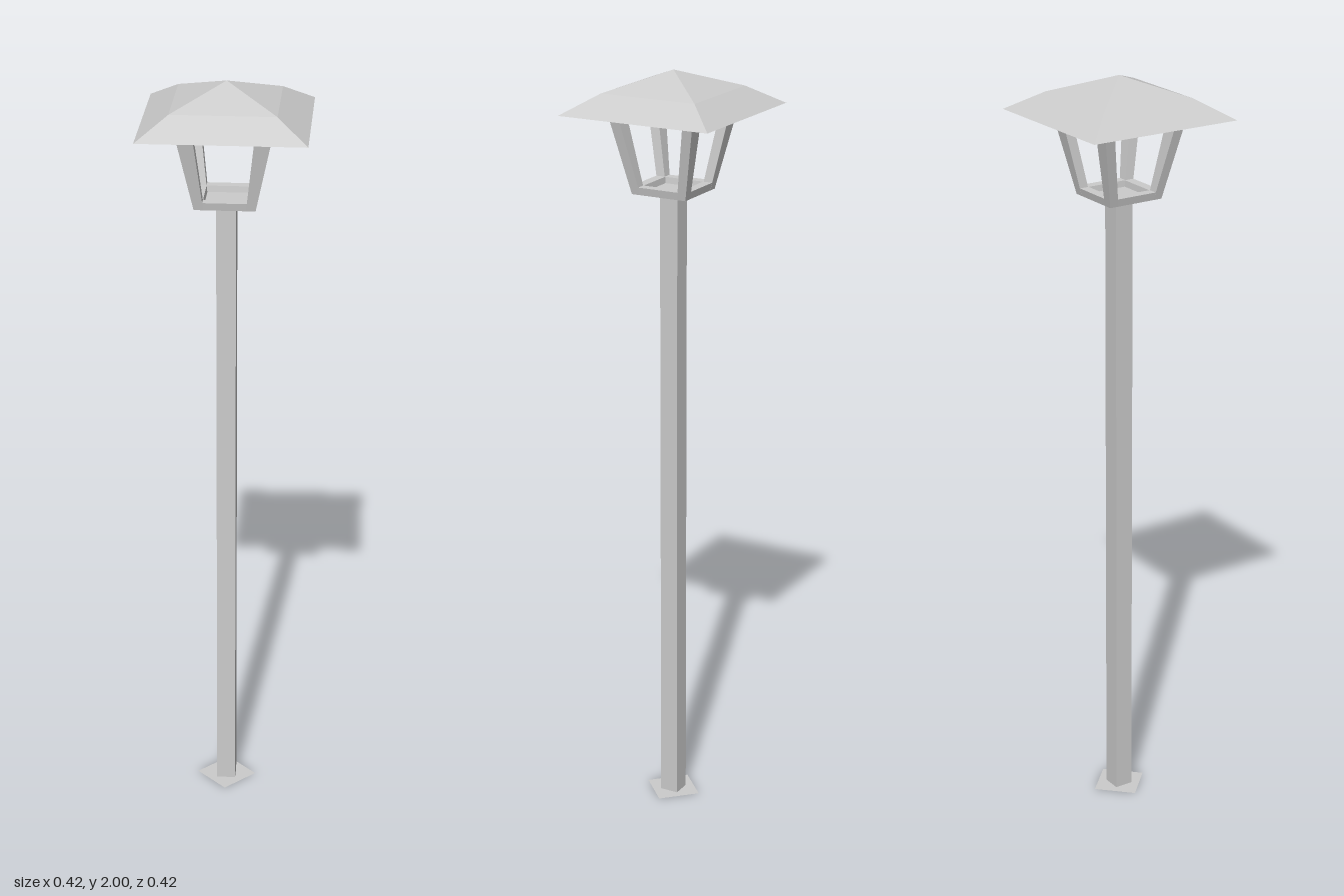
import * as THREE from 'three';

const solid = new THREE.MeshStandardMaterial({ color: 0xcccccc, flatShading: true });
const thin = new THREE.MeshStandardMaterial({ color: 0xcccccc, flatShading: true, side: THREE.DoubleSide });

// Four-sided revolve: profile is [half-width, height] pairs, outside listed bottom to top.
function squareLathe(name, profile, material) {
  const points = profile.map(([half, y]) => new THREE.Vector2(half * Math.SQRT2, y));
  const geometry = new THREE.LatheGeometry(points, 4, Math.PI / 4);
  const mesh = new THREE.Mesh(geometry, material);
  mesh.name = name;
  return mesh;
}

// Leaning corner post: a box whose two ends are placed and sized separately.
const POST_BOTTOM = { y: 1.69, x: [0.053, 0.077], z: [0.053, 0.077] };
const POST_TOP = { y: 1.948, x: [0.083, 0.131], z: [0.102, 0.131] };

function cornerPost(sx, sz) {
  const geometry = new THREE.BoxGeometry(1, 1, 1);
  const p = geometry.attributes.position;
  for (let i = 0; i < p.count; i++) {
    const end = p.getY(i) > 0 ? POST_TOP : POST_BOTTOM;
    const x = end.x[p.getX(i) * sx > 0 ? 1 : 0] * sx;
    const z = end.z[p.getZ(i) * sz > 0 ? 1 : 0] * sz;
    p.setXYZ(i, x, end.y, z);
  }
  geometry.computeVertexNormals();
  const mesh = new THREE.Mesh(geometry, solid);
  mesh.name = 'cornerPost';
  return mesh;
}

// Flat diamond plate on the ground, pierced by the hollow pole.
function footPlate(radius, hole) {
  const shape = new THREE.Shape([[radius, 0], [0, radius], [-radius, 0], [0, -radius]]
    .map(([x, y]) => new THREE.Vector2(x, y)));
  shape.holes.push(new THREE.Path([[hole, hole], [hole, -hole], [-hole, -hole], [-hole, hole]]
    .map(([x, y]) => new THREE.Vector2(x, y))));
  const geometry = new THREE.ShapeGeometry(shape);
  geometry.rotateX(-Math.PI / 2);
  const mesh = new THREE.Mesh(geometry, thin);
  mesh.name = 'footPlate';
  return mesh;
}

export function createModel() {
  const model = new THREE.Group();
  model.name = 'lampPost';

  // Hollow square pole and its foot
  model.add(footPlate(0.08, 0.025));
  model.add(squareLathe('pole', [[0.025, 0], [0.025, 1.69]], thin));

  // Lantern frame: tray, four posts, top rail
  const lantern = new THREE.Group();
  lantern.name = 'lantern';
  lantern.add(squareLathe('lanternTray',
    [[0, 1.69], [0.077, 1.69], [0.081, 1.71], [0.055, 1.71], [0.053, 1.694], [0, 1.694]], solid));
  for (const sx of [-1, 1]) {
    for (const sz of [-1, 1]) lantern.add(cornerPost(sx, sz));
  }
  lantern.add(squareLathe('topRail',
    [[0.127, 1.925], [0.131, 1.948], [0.106, 1.948], [0.102, 1.925], [0.127, 1.925]], solid));
  model.add(lantern);

  // Open-bottomed roof: steeper skirt below a shallow pyramid
  model.add(squareLathe('roof', [[0.21, 1.9], [0.132, 1.95], [0, 2]], thin));

  return model;
}
